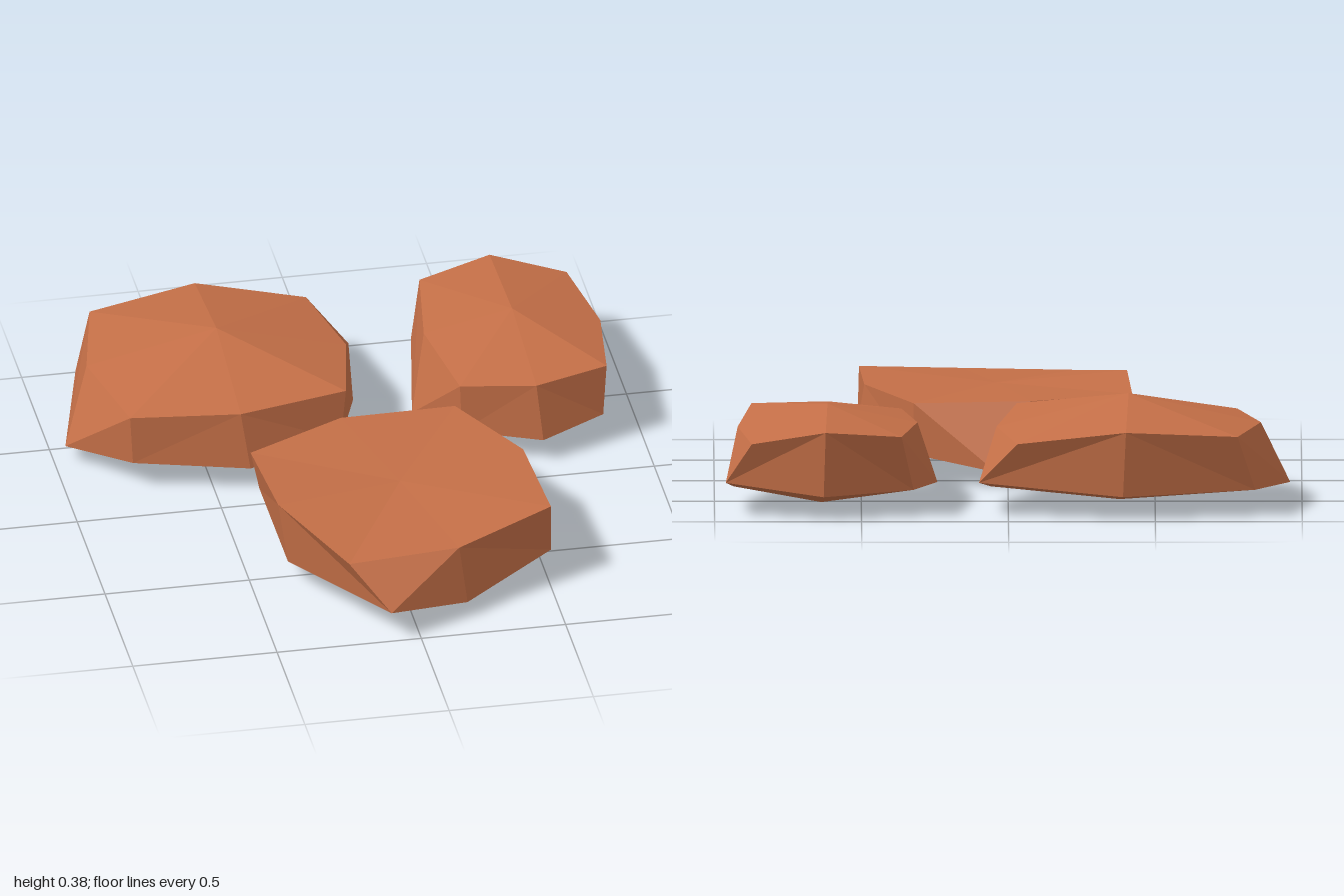
import * as THREE from 'three';

const clay = new THREE.MeshStandardMaterial({ color: 0xc46f47, flatShading: true });
clay.name = 'terracotta';

// Rock rings, counter-clockwise from the front: [x, y, z]
const UPPER = [
  [0, 0.29, 0.44], [0.38, 0.295, 0.36], [0.45, 0.265, 0], [0.38, 0.255, -0.36],
  [0.01, 0.305, -0.44], [-0.37, 0.28, -0.36], [-0.45, 0.28, 0], [-0.37, 0.275, 0.37],
];
const LOWER = [
  [0.03, 0.085, 0.46], [0.36, 0.112, 0.37], [0.47, 0.057, 0.02], [0.51, 0.11, -0.27],
  [0.02, 0.08, -0.41], [-0.43, 0.09, -0.3], [-0.55, 0.055, 0.14], [-0.36, 0.098, 0.37],
];

// One faceted rock; place maps local [x, z] to the ground plan
function makeRock(name, topY, bottomY, place, mirrored) {
  const positions = [];
  const tri = (a, b, c) => {
    for (const [x, y, z] of mirrored ? [a, c, b] : [a, b, c]) {
      const [px, pz] = place(x, z);
      positions.push(px, y, pz);
    }
  };
  const top = [0, topY, 0], bottom = [0.03, bottomY, 0.04];
  const reach = (p) => Math.hypot(p[0], p[2]);
  for (let i = 0; i < 8; i++) {
    const j = (i + 1) % 8;
    const u = UPPER[i], v = UPPER[j], l = LOWER[i], m = LOWER[j];
    tri(top, u, v);
    tri(bottom, m, l);
    // Split each side along the ridge from the more protruding lower corner
    if (reach(l) > reach(m)) {
      tri(l, m, v);
      tri(l, v, u);
    } else {
      tri(l, m, u);
      tri(m, v, u);
    }
  }
  const geometry = new THREE.BufferGeometry();
  geometry.setAttribute('position', new THREE.Float32BufferAttribute(positions, 3));
  geometry.computeVertexNormals();
  const mesh = new THREE.Mesh(geometry, clay);
  mesh.name = name;
  return mesh;
}

export function createModel() {
  const group = new THREE.Group();
  group.name = 'rockCluster';
  group.add(
    makeRock('backRightRock', 0.38, 0.01, (x, z) => [x - 0.41, z - 0.56], false),
    makeRock('backLeftRock', 0.345, 0, (x, z) => [x * 0.68 + 0.615, z - 0.56], false),
    // Turned and mirrored copy with a flat top
    makeRock('frontRock', 0.28, 0,
      (x, z) => [0.04 + 0.26 * x + 1.02 * z, 0.41 + 1.02 * x - 0.26 * z], true),
  );
  return group;
}
